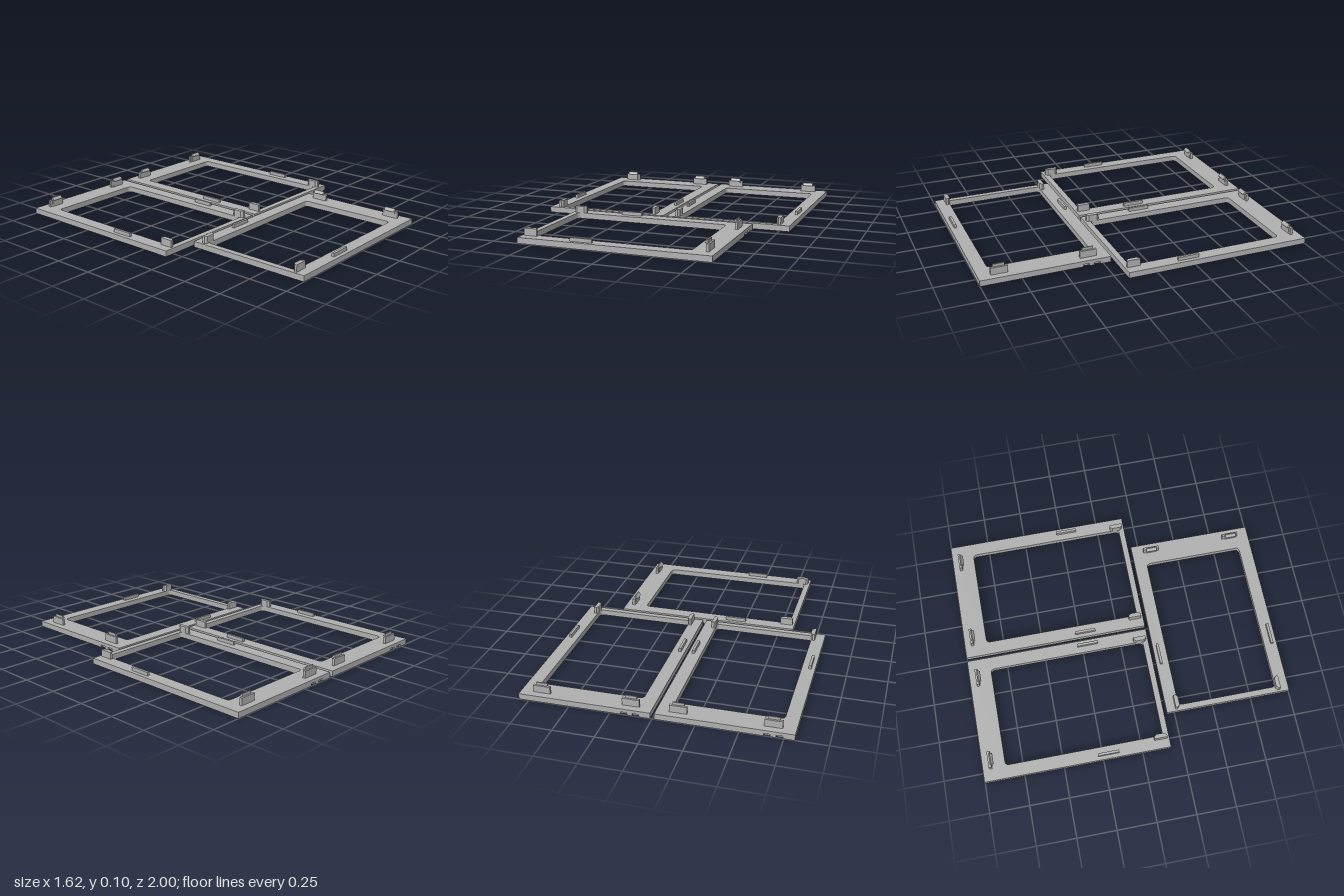
import * as THREE from 'three';

const T = 0.036;      // panel thickness
const NOTCH_H = 0.016; // height of the notches under the wide end
const W = 0.4, L = 0.59; // half width and half length of a panel

const grey = new THREE.MeshStandardMaterial({ color: 0xb0b0b0 });
grey.name = 'grey plastic';

function add(parent, name, geometry) {
  const mesh = new THREE.Mesh(geometry, grey);
  mesh.name = name;
  parent.add(mesh);
  return mesh;
}

function box(parent, name, x0, x1, y0, y1, z0, z1) {
  const g = new THREE.BoxGeometry(x1 - x0, y1 - y0, z1 - z0);
  g.translate((x0 + x1) / 2, (y0 + y1) / 2, (z0 + z1) / 2);
  return add(parent, name, g);
}

// Rounded window opening, set off-centre along the panel
function windowPath() {
  const x = 0.318, y0 = -0.553, y1 = 0.447, r = 0.022;
  const p = new THREE.Path();
  p.moveTo(-x + r, y0);
  p.lineTo(x - r, y0);
  p.absarc(x - r, y0 + r, r, -Math.PI / 2, 0);
  p.absarc(x - r, y1 - r, r, 0, Math.PI / 2);
  p.absarc(-x + r, y1 - r, r, Math.PI / 2, Math.PI);
  p.absarc(-x + r, y0 + r, r, Math.PI, Math.PI * 1.5);
  return p;
}

// Flat layer of the panel, optionally with two notches in its wide end
function layer(y0, y1, notched) {
  const pts = [[-W, -L], [W, -L], [W, L]];
  if (notched) {
    for (const [a, b] of [[-0.225, -0.263], [-0.295, -0.333]]) {
      pts.push([a, L], [a, L - 0.012], [b, L - 0.012], [b, L]);
    }
  }
  pts.push([-W, L]);
  const s = new THREE.Shape(pts.map(([x, y]) => new THREE.Vector2(x, y)));
  s.holes.push(windowPath());
  const g = new THREE.ExtrudeGeometry(s, { depth: y1 - y0, bevelEnabled: false, curveSegments: 6 });
  return g.rotateX(-Math.PI / 2).translate(0, y0, 0);
}

// Thin hook with a barb facing the window
function hookGeometry(width) {
  const s = new THREE.Shape([
    [-0.536, T], [-0.536, 0.097], [-0.529, 0.097], [-0.514, 0.079], [-0.527, 0.079], [-0.527, T],
  ].map(([z, y]) => new THREE.Vector2(z, y)));
  const g = new THREE.ExtrudeGeometry(s, { depth: width, bevelEnabled: false });
  return g.rotateY(-Math.PI / 2).translate(width / 2, 0, 0);
}

// Corner tab with tapered ends, leaning over the window edge
function tabGeometry(side) {
  const pts = [[0.342, 0.495], [0.342, 0.577], [0.327, 0.577], [0.315, 0.562], [0.315, 0.51], [0.327, 0.495]];
  const s = new THREE.Shape(pts.map(([x, z]) => new THREE.Vector2(side * x, -z)));
  const g = new THREE.ExtrudeGeometry(s, { depth: 0.08 - T, bevelEnabled: false });
  return g.rotateX(-Math.PI / 2).translate(0, T, 0);
}

// One complete panel, wide end towards -z
function createPanel(name) {
  const panel = new THREE.Group();
  panel.name = name;
  add(panel, 'frameUpper', layer(NOTCH_H, T, false));
  add(panel, 'frameLower', layer(0, NOTCH_H, true));
  for (const side of [-1, 1]) {
    const cx = side * 0.272;
    box(panel, 'clipBack', cx - 0.052, cx + 0.052, T, 0.08, -0.547, -0.53);
    add(panel, 'clipHook', hookGeometry(0.07)).position.x = cx;
    add(panel, 'cornerTab', tabGeometry(side));
    const rx = side * 0.368;
    box(panel, 'sideRidge', rx - 0.008, rx + 0.008, T, 0.058, 0.13, 0.265);
  }
  return panel;
}

export function createModel() {
  const model = new THREE.Group();
  model.name = 'framePanels';
  const places = [
    ['rightPanel', -0.412, -0.41, 0],
    ['leftPanel', 0.412, -0.41, 0],
    ['frontPanel', -0.003, 0.6, -Math.PI / 2],
  ];
  for (const [name, x, z, turn] of places) {
    const panel = createPanel(name);
    panel.position.set(x, 0, z);
    panel.rotation.y = turn;
    model.add(panel);
  }
  return model;
}
